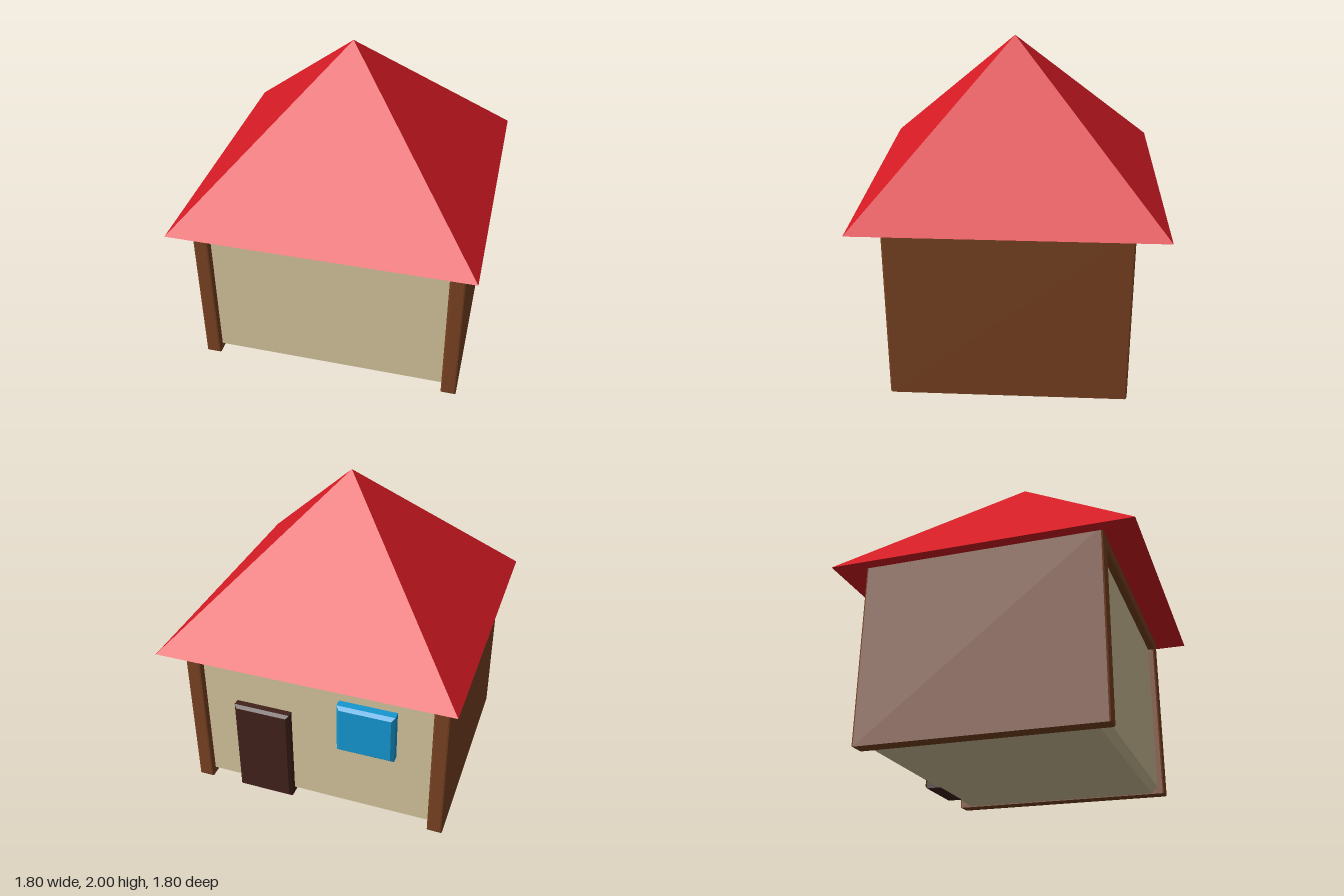
import * as THREE from 'three';

// Extrudes an outline along z, centred, with chamfered edges kept inside the outline
function bevelled(name, points, depth, bevel, segments, color) {
  const shape = new THREE.Shape(points.map(([x, y]) => new THREE.Vector2(x, y)));
  const geometry = new THREE.ExtrudeGeometry(shape, {
    depth: depth - 2 * bevel,
    bevelEnabled: true,
    bevelThickness: bevel,
    bevelSize: bevel,
    bevelOffset: -bevel,
    bevelSegments: segments,
  });
  geometry.translate(0, 0, -depth / 2 + bevel);
  const mesh = new THREE.Mesh(geometry, new THREE.MeshStandardMaterial({ color, flatShading: true }));
  mesh.name = name;
  return mesh;
}

const rect = (x0, x1, y0, y1) => [[x0, y0], [x1, y0], [x1, y1], [x0, y1]];

export function createModel() {
  const house = new THREE.Group();
  house.name = 'house';

  // Cream core with a wide chamfer, its sides buried in the frame
  house.add(bevelled('walls', rect(-0.77, 0.77, 0.005, 1.05), 1.334, 0.04, 1, 0xd3c39c));

  // Brown arch: two full-depth side walls joined by a lintel
  const arch = [
    [-0.825, 0], [-0.73, 0], [-0.73, 1.01], [0.73, 1.01],
    [0.73, 0], [0.825, 0], [0.825, 1.1], [-0.825, 1.1],
  ];
  house.add(bevelled('frame', arch, 1.42, 0.012, 2, 0x784221));

  // Door and window on the back wall
  const door = bevelled('door', rect(0.16, 0.52, 0.005, 0.665), 0.13, 0.018, 1, 0x40211a);
  door.position.z = -0.66;
  const pane = bevelled('window', rect(-0.51, -0.15, 0.5, 0.835), 0.13, 0.02, 1, 0x1597d0);
  pane.position.z = -0.67;
  house.add(door, pane);

  // Square pyramid roof with closed underside
  const roofGeometry = new THREE.ConeGeometry(0.9 * Math.SQRT2, 0.92, 4);
  roofGeometry.rotateY(Math.PI / 4);
  const roof = new THREE.Mesh(
    roofGeometry,
    new THREE.MeshStandardMaterial({ color: 0xd71b24, flatShading: true })
  );
  roof.name = 'roof';
  roof.position.y = 1.08 + 0.46;
  house.add(roof);

  return house;
}
